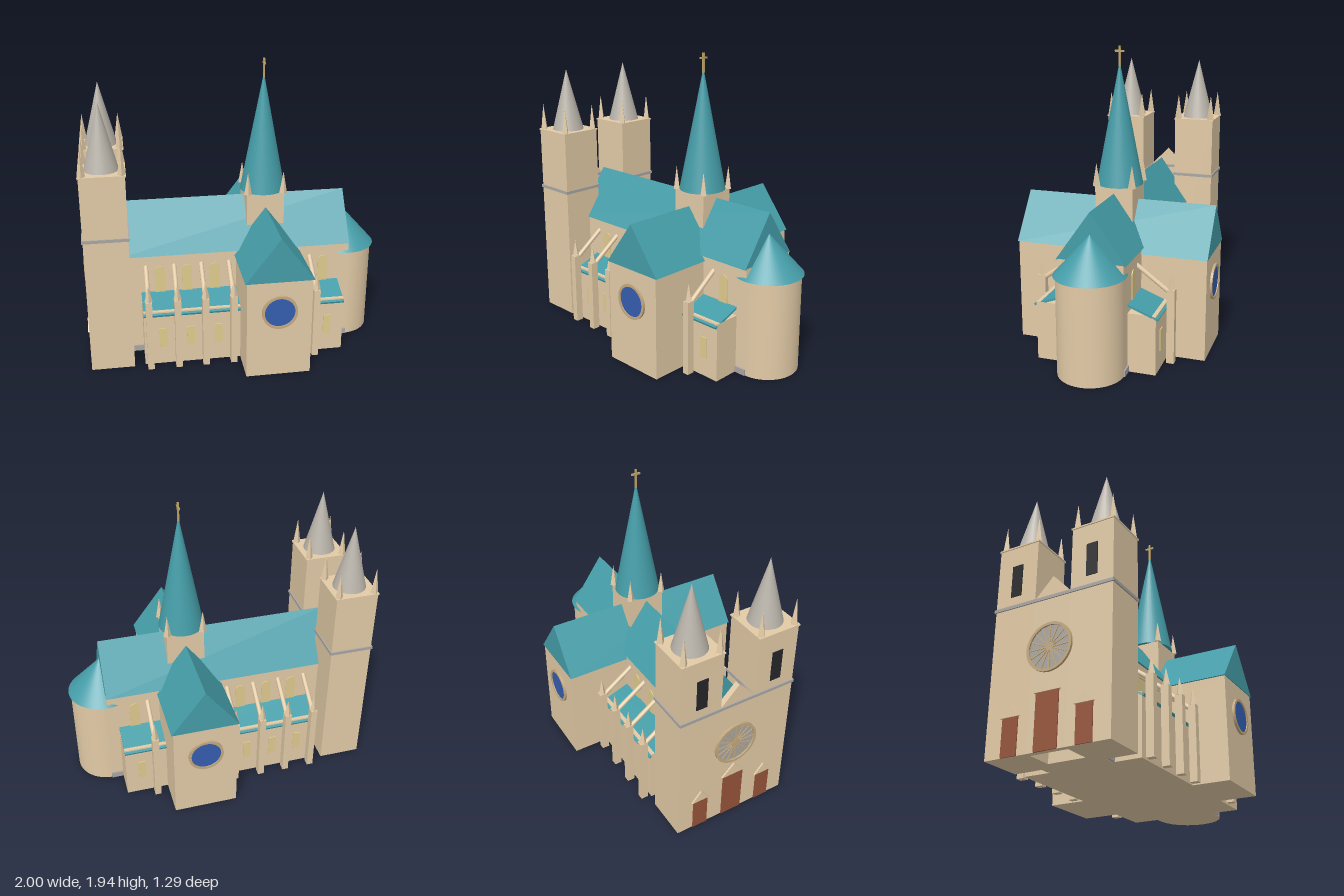
import * as THREE from 'three';

const mat = (name, color) => {
  const m = new THREE.MeshStandardMaterial({ color });
  m.name = name;
  return m;
};

export function createModel() {
  const model = new THREE.Group();
  model.name = 'cathedral';

  const stone = mat('sandstone', 0xe2caa6);
  const trim = mat('tan trim', 0xc4aa80);
  const teal = mat('copper roof', 0x459da8);
  const grey = mat('grey slate', 0xbab5ab);
  const bandGrey = mat('band grey', 0xaaa7a3);
  const glass = mat('blue glass', 0x355db0);
  const pane = mat('pale window', 0xe0cc8e);
  const wood = mat('brown door', 0x96543a);
  const dark = mat('dark opening', 0x25262a);
  const gold = mat('old gold', 0xbfa468);

  const add = (name, geo, material, x = 0, y = 0, z = 0, parent = model) => {
    const m = new THREE.Mesh(geo, material);
    m.name = name;
    m.position.set(x, y, z);
    parent.add(m);
    return m;
  };
  // Box given by its minimum and maximum corners
  const box = (name, material, x0, x1, y0, y1, z0, z1, parent) =>
    add(name, new THREE.BoxGeometry(x1 - x0, y1 - y0, z1 - z0), material,
      (x0 + x1) / 2, (y0 + y1) / 2, (z0 + z1) / 2, parent);
  // Cone standing on y
  const cone = (name, material, r, h, x, y, z, sides = 32) =>
    add(name, new THREE.ConeGeometry(r, h, sides), material, x, y + h / 2, z);
  // Four-sided pinnacle, set cornerwise
  const pinnacle = (r, h, x, y, z) => {
    const g = new THREE.ConeGeometry(r, h, 4).toNonIndexed();
    g.computeVertexNormals();
    add('pinnacle', g, stone, x, y + h / 2, z);
  };
  // Triangular prism along z, from z = 0
  const prism = (halfWidth, height, depth) => {
    const s = new THREE.Shape();
    s.moveTo(-halfWidth, 0);
    s.lineTo(halfWidth, 0);
    s.lineTo(0, height);
    return new THREE.ExtrudeGeometry(s, { depth, bevelEnabled: false });
  };
  // Round-headed plate facing +z
  const arch = (w, h) => {
    const s = new THREE.Shape();
    s.moveTo(-w / 2, 0);
    s.lineTo(w / 2, 0);
    s.lineTo(w / 2, h - w / 2);
    s.absarc(0, h - w / 2, w / 2, 0, Math.PI, false);
    return new THREE.ExtrudeGeometry(s, { depth: 0.008, bevelEnabled: false, curveSegments: 10 });
  };
  const disc = (r, depth) => new THREE.CylinderGeometry(r, r, depth, 40).rotateX(Math.PI / 2);
  const ring = (outer, inner, depth) => {
    const s = new THREE.Shape().absarc(0, 0, outer, 0, Math.PI * 2, false);
    s.holes.push(new THREE.Path().absarc(0, 0, inner, 0, Math.PI * 2, true));
    return new THREE.ExtrudeGeometry(s, { depth, bevelEnabled: false, curveSegments: 32 });
  };

  // Nave
  box('plinth', bandGrey, -0.775, 0.78, 0.002, 0.042, -0.22, 0.22);
  box('nave', stone, -0.78, 0.77, 0, 0.71, -0.21, 0.21);
  add('naveRoof', prism(0.222, 0.315, 1.555), teal, -0.785, 0.705, 0).rotation.y = Math.PI / 2;

  // Transept
  const cx = 0.21;
  box('transept', stone, 0, 0.42, 0, 0.675, -0.63, 0.63);
  add('transeptRoof', prism(0.222, 0.295, 1.27), teal, cx, 0.67, -0.635);

  // Apse
  add('apse', new THREE.CylinderGeometry(0.21, 0.21, 0.64, 48), stone, 0.77, 0.32, 0);
  cone('apseRoof', teal, 0.225, 0.25, 0.77, 0.635, 0, 48);

  // Crossing tower, spire and cross
  box('crossingTower', stone, cx - 0.125, cx + 0.125, 0.6, 1.06, -0.125, 0.125);
  cone('spire', teal, 0.15, 0.785, cx, 1.06, 0, 32);
  box('crossPost', gold, cx - 0.006, cx + 0.006, 1.8, 1.935, -0.006, 0.006);
  box('crossArm', gold, cx - 0.006, cx + 0.006, 1.897, 1.909, -0.03, 0.03);
  for (const sx of [-1, 1]) for (const sz of [-1, 1])
    pinnacle(0.026, 0.15, cx + sx * 0.118, 1.06, sz * 0.118);

  for (const s of [-1, 1]) {
    // One side of the church, built facing +z and turned round for the other
    const side = new THREE.Group();
    side.name = s > 0 ? 'frontSide' : 'backSide';
    side.rotation.y = s > 0 ? 0 : Math.PI;
    model.add(side);

    // Transept rose window
    add('roseGlass', disc(0.1, 0.009), glass, s * cx, 0.46, 0.634, side);
    add('roseFrame', ring(0.115, 0.098, 0.015), trim, s * cx, 0.46, 0.63, side);

    // Aisle with lean-to roof
    const ax = [s * -0.635, s * 0.70].sort((a, b) => a - b);
    box('aisle', stone, ax[0], ax[1], 0, 0.385, 0.2, 0.388, side);
    const lean = add('aisleRoof', new THREE.BoxGeometry(1.335, 0.014, 0.212), teal,
      s * 0.0325, 0.4, 0.303, side);
    lean.rotation.x = Math.atan2(0.072, 0.19);

    // Windows of the aisle and clerestory
    for (const x of [-0.51, -0.33, -0.145, 0.59]) {
      box('aisleWindow', pane, s * x - 0.025, s * x + 0.025, 0.125, 0.265, 0.386, 0.394, side);
      add('clerestoryWindow', arch(0.066, 0.19), pane, s * x, 0.435, 0.208, side);
    }

    // Flying buttresses
    for (const x of [-0.6, -0.415, -0.235, -0.05, 0.5]) {
      box('pier', stone, s * x - 0.021, s * x + 0.021, 0, 0.49, 0.405, 0.455, side);
      pinnacle(0.026, 0.115, x, 0.49, s * 0.43);
      const dy = 0.165, dz = 0.225;
      const flyer = add('flyer', new THREE.CylinderGeometry(0.015, 0.015, Math.hypot(dy, dz), 10),
        stone, s * x, 0.546, 0.3125, side);
      flyer.rotation.x = -Math.atan2(dz, dy);
    }

    // West tower
    const tx = -0.845, tz = s * 0.262;
    box('tower', stone, tx - 0.14, tx + 0.14, 0, 1.335, tz - 0.14, tz + 0.14);
    box('towerCap', stone, tx - 0.146, tx + 0.146, 1.33, 1.34, tz - 0.146, tz + 0.146);
    box('towerBand', bandGrey, tx - 0.148, tx + 0.148, 0.91, 0.93, tz - 0.148, tz + 0.148);
    cone('towerSpire', grey, 0.108, 0.42, tx, 1.34, tz, 24);
    for (const px of [-1, 1]) for (const pz of [-1, 1])
      pinnacle(0.026, 0.175, tx + px * 0.12, 1.34, tz + pz * 0.12);
  }

  // West front, built facing +z and turned to face -x
  const west = new THREE.Group();
  west.name = 'westFront';
  west.rotation.y = -Math.PI / 2;
  model.add(west);
  box('facadeWall', stone, -0.125, 0.125, 0, 0.92, 0.948, 0.985, west);
  box('facadeBand', bandGrey, -0.125, 0.125, 0.91, 0.93, 0.946, 0.992, west);
  add('facadeGable', prism(0.125, 0.13, 0.037), stone, 0, 0.925, 0.948, west);

  // West rose with spokes
  add('westRosePanel', disc(0.138, 0.006), bandGrey, 0, 0.6, 0.986, west);
  add('westRoseFrame', ring(0.15, 0.133, 0.016), trim, 0, 0.6, 0.984, west);
  add('westRoseHub', disc(0.025, 0.01), trim, 0, 0.6, 0.989, west);
  for (let i = 0; i < 8; i++)
    add('westRoseSpoke', new THREE.BoxGeometry(0.27, 0.009, 0.008), trim, 0, 0.6, 0.989, west)
      .rotation.z = i * Math.PI / 8;

  // Doors with gables, and belfry openings
  for (const [x, w, h, g] of [[0, 0.15, 0.335, 0.085], [-0.24, 0.105, 0.225, 0.075], [0.24, 0.105, 0.225, 0.075]]) {
    box('door', wood, x - w / 2, x + w / 2, 0, h, 0.983, 0.991, west);
    add('doorGable', prism(w / 2 + 0.012, g, 0.014), stone, x, h, 0.983, west);
  }
  for (const s of [-1, 1])
    box('belfryOpening', dark, s * 0.262 - 0.037, s * 0.262 + 0.037, 0.99, 1.2, 0.982, 0.99, west);

  return model;
}
